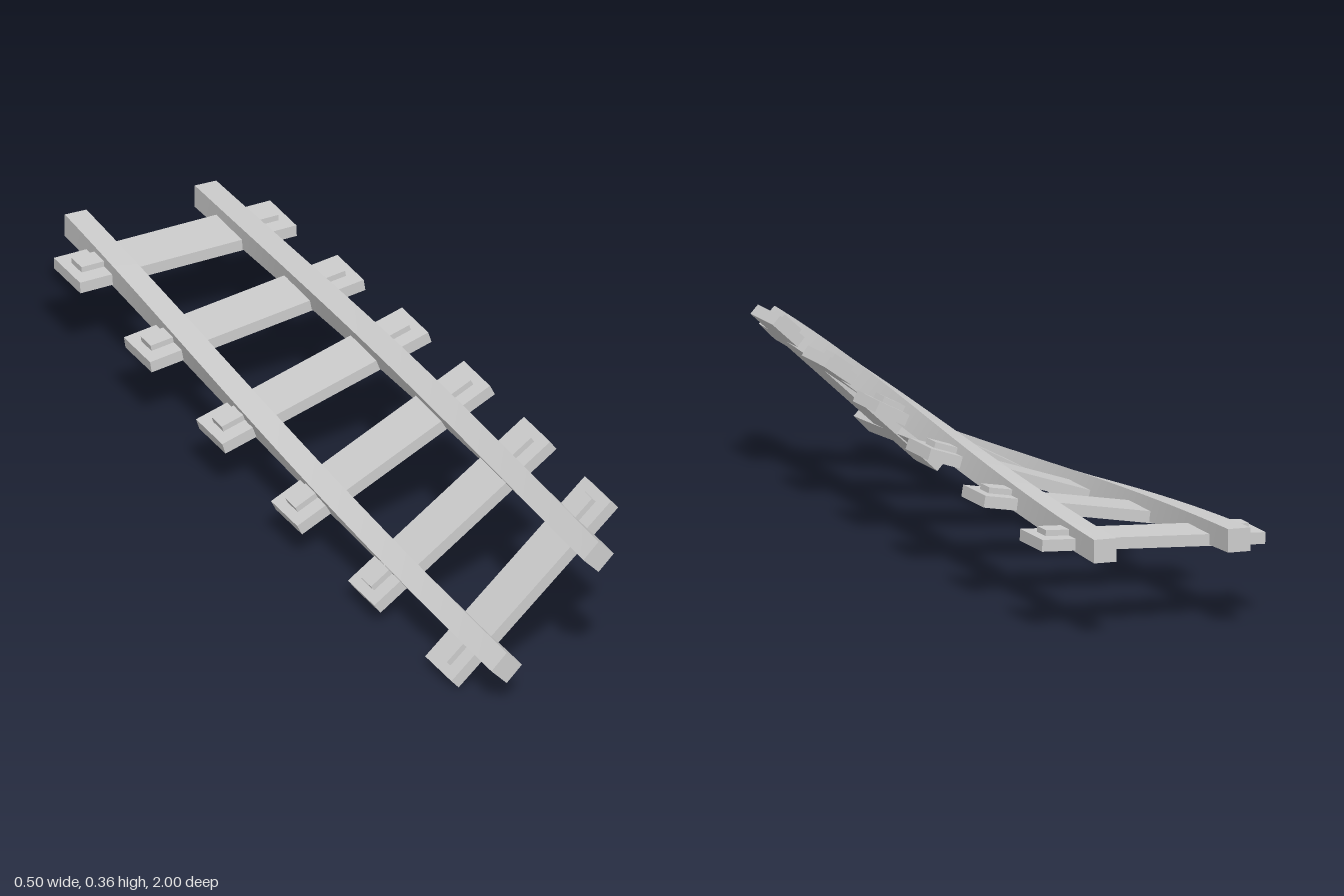
import * as THREE from 'three';

const PIVOT_Y = 0.169;      // height of the twist axis
const TWIST = Math.PI / 4;  // total roll from back to front

// Roll angle along the track: eased in and out
function rollAt(z) {
  const t = (z + 1) / 2;
  const smooth = t * t * (3 - 2 * t);
  return TWIST * (0.55 * t + 0.45 * smooth);
}

export function createModel() {
  const track = new THREE.Group();
  track.name = 'twistedTrack';
  const material = new THREE.MeshStandardMaterial({ color: 0xcccccc });

  const addBox = (parent, name, w, h, d, x, y) => {
    const mesh = new THREE.Mesh(new THREE.BoxGeometry(w, h, d), material);
    mesh.name = name;
    mesh.position.set(x, y, 0);
    parent.add(mesh);
  };

  // Rails: square bars rolled progressively about the track axis
  for (const side of [-1, 1]) {
    const geometry = new THREE.BoxGeometry(0.05, 0.05, 2, 1, 1, 40);
    geometry.translate(side * 0.15, 0.025, 0);
    const pos = geometry.attributes.position;
    const axis = new THREE.Vector3(0, 0, 1);
    const v = new THREE.Vector3();
    for (let i = 0; i < pos.count; i++) {
      v.fromBufferAttribute(pos, i);
      v.applyAxisAngle(axis, rollAt(v.z));
      pos.setXYZ(i, v.x, v.y + PIVOT_Y, v.z);
    }
    geometry.computeVertexNormals();
    const rail = new THREE.Mesh(geometry, material);
    rail.name = side > 0 ? 'leftRail' : 'rightRail';
    track.add(rail);
  }

  // Sleepers, each with a fastening pad outside either rail
  for (let i = 0; i < 6; i++) {
    const z = -5 / 6 + i / 3;
    const sleeper = new THREE.Group();
    sleeper.name = 'sleeper' + (i + 1);
    sleeper.position.set(0, PIVOT_Y, z);
    sleeper.rotation.z = rollAt(z);
    addBox(sleeper, 'plank', 0.5, 0.025, 0.125, 0, 0.0125);
    for (const side of [-1, 1]) {
      addBox(sleeper, side > 0 ? 'leftPad' : 'rightPad', 0.065, 0.0145, 0.048, side * 0.195, 0.03025);
    }
    track.add(sleeper);
  }
  return track;
}
